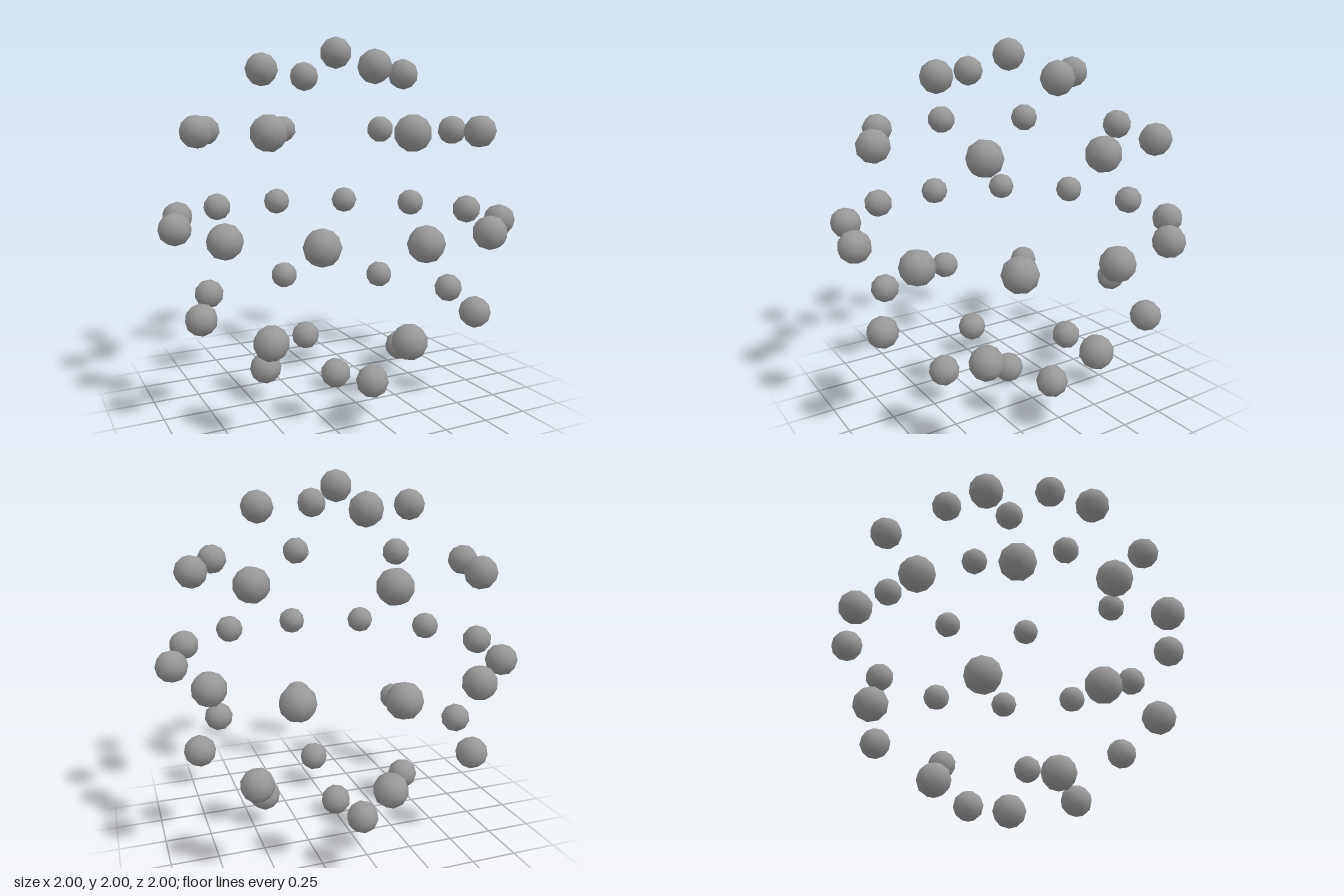
import * as THREE from 'three';

const CENTRE_Y = 1;
const BALL_RADIUS = 0.087;

export function createModel() {
  const model = new THREE.Group();
  model.name = 'ballShell';
  const material = new THREE.MeshStandardMaterial({ color: 0x999999 });
  const ball = new THREE.IcosahedronGeometry(BALL_RADIUS, 1);

  // Each low-poly ball is turned to face the middle of the shell
  function addBall(parent, name, x, y, z) {
    const mesh = new THREE.Mesh(ball, material);
    mesh.name = name;
    mesh.position.set(x, y, z);
    parent.add(mesh);
    mesh.lookAt(0, CENTRE_Y, 0);
  }

  // Evenly spaced balls on a horizontal circle
  function addRing(name, y, radius, count) {
    const ring = new THREE.Group();
    ring.name = name;
    ring.position.y = CENTRE_Y + y;
    for (let i = 0; i < count; i++) {
      const a = (i / count) * Math.PI * 2;
      addBall(ring, name + 'Ball', Math.cos(a) * radius, 0, Math.sin(a) * radius);
    }
    model.add(ring);
    return ring;
  }

  // Equator
  addRing('equatorRing', 0, 0.911, 12);

  // Upper and lower halves mirror each other
  for (const [side, s] of [['upper', 1], ['lower', -1]]) {
    addBall(model, side + 'Pole', 0, CENTRE_Y + s * 0.913, 0);
    addRing(side + 'SmallRing', s * 0.81, 0.433, 4);

    // Middle ring: four balls on the axes, four slightly uneven diagonals
    const middle = addRing(side + 'MiddleRing', s * 0.49, 0.787, 4);
    for (const [x, z] of [[0.594, 0.513], [-0.594, 0.519], [-0.599, -0.514], [0.588, -0.524]]) {
      addBall(middle, side + 'DiagonalBall', x, 0, z);
    }
  }
  return model;
}
